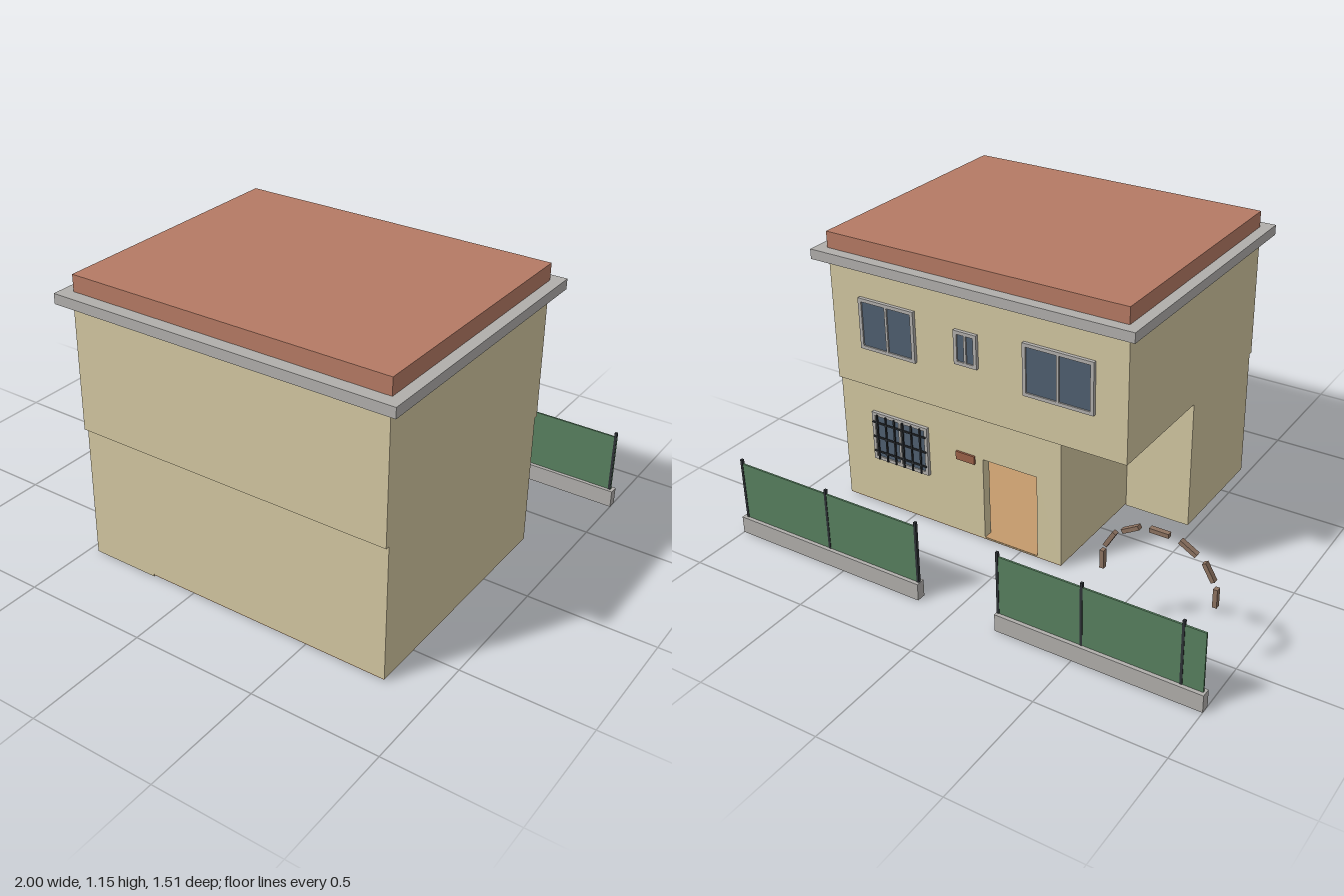
import * as THREE from 'three';

const mat = (name, color) => {
  const m = new THREE.MeshStandardMaterial({ color });
  m.name = name;
  return m;
};

export function createModel() {
  const M = {
    wall: mat('cream wall', 0xd2c6a0),
    roof: mat('terracotta', 0xb57a64),
    concrete: mat('concrete grey', 0xb0aeab),
    green: mat('fence green', 0x57805f),
    metal: mat('dark metal', 0x2e3236),
    stone: mat('arch brown', 0x8c7260),
    glass: mat('window glass', 0x4f5f70),
    floor: mat('wood floor', 0xc49a6c),
    white: mat('ceiling white', 0xeeeeec),
    plaque: mat('plaque brown', 0x9a6148),
  };
  const model = new THREE.Group();
  model.name = 'house';

  // Box given by its limits on each axis
  const box = (name, m, x0, x1, y0, y1, z0, z1, parent = model) => {
    const mesh = new THREE.Mesh(new THREE.BoxGeometry(x1 - x0, y1 - y0, z1 - z0), m);
    mesh.position.set((x0 + x1) / 2, (y0 + y1) / 2, (z0 + z1) / 2);
    mesh.name = name;
    parent.add(mesh);
    return mesh;
  };
  const group = (name) => {
    const g = new THREE.Group();
    g.name = name;
    model.add(g);
    return g;
  };
  const rect = (path, x0, x1, y0, y1) =>
    path.moveTo(x0, y0).lineTo(x1, y0).lineTo(x1, y1).lineTo(x0, y1).closePath();
  // Plate with rectangular holes
  const plate = (name, m, outer, holes, z0, z1, parent) => {
    const s = rect(new THREE.Shape(), ...outer);
    holes.forEach((h) => s.holes.push(rect(new THREE.Path(), ...h)));
    const geo = new THREE.ExtrudeGeometry(s, { depth: z1 - z0, bevelEnabled: false });
    const mesh = new THREE.Mesh(geo, m);
    mesh.position.z = z0;
    mesh.name = name;
    parent.add(mesh);
  };

  // Hollow ground floor, entered through a doorway at the rear
  const ground = group('groundFloor');
  const t = 0.04, top = 0.545;
  box('frontWall', M.wall, -0.185, 0.825, 0.01, top, 0.695 - t, 0.695, ground);
  box('leftWall', M.wall, 0.825 - t, 0.825, 0.01, top, -0.31 + t, 0.695 - t, ground);
  box('rightWall', M.wall, -0.185, -0.185 + t, 0.01, top, -0.31 + t, 0.695 - t, ground);
  const rear = rect(new THREE.Shape(), -0.185, 0.825, 0.01, top);
  rear.holes.push(rect(new THREE.Path(), -0.08, 0.16, 0.012, 0.365));
  const rearWall = new THREE.Mesh(
    new THREE.ExtrudeGeometry(rear, { depth: t, bevelEnabled: false }), M.wall);
  rearWall.position.z = -0.31;
  rearWall.name = 'rearWall';
  ground.add(rearWall);
  box('floor', M.floor, -0.184, 0.824, 0.006, 0.014, -0.309, 0.694, ground);
  box('ceiling', M.white, -0.15, 0.79, 0.532, 0.544, -0.275, 0.66, ground);
  box('sideRoom', M.wall, -0.465, -0.185, 0, top, 0.195, 0.695);

  // Upper floor and roof
  box('upperFloor', M.wall, -0.465, 0.825, top, 1.05, -0.325, 0.712);
  box('eaves', M.concrete, -0.51, 0.87, 1.05, 1.09, -0.375, 0.757);
  box('roof', M.roof, -0.465, 0.825, 1.09, 1.155, -0.33, 0.707);

  // Two-pane rear windows: [name, x0, x1, y0, y1, wall z]
  const windows = [
    ['upperLeftWindow', 0.435, 0.69, 0.71, 0.92, -0.325],
    ['smallWindow', 0.155, 0.255, 0.758, 0.895, -0.325],
    ['upperRightWindow', -0.335, -0.042, 0.71, 0.92, -0.325],
    ['groundWindow', 0.41, 0.675, 0.22, 0.43, -0.31],
  ];
  for (const [name, x0, x1, y0, y1, z] of windows) {
    const w = group(name);
    const r = 0.014, c = (x0 + x1) / 2;
    plate('frame', M.concrete, [x0, x1, y0, y1], [
      [x0 + r, c - 0.005, y0 + r, y1 - r],
      [c + 0.005, x1 - r, y0 + r, y1 - r],
    ], z - 0.014, z, w);
    box('glass', M.glass, x0 + 0.005, x1 - 0.005, y0 + 0.005, y1 - 0.005, z - 0.008, z, w);
  }

  // Security bars on the ground window
  const bars = group('windowBars');
  for (let i = 0; i < 6; i++) {
    const x = 0.44 + i * 0.041;
    box('verticalBar', M.metal, x - 0.003, x + 0.003, 0.225, 0.425, -0.333, -0.327, bars);
  }
  for (const y of [0.26, 0.325, 0.39]) {
    box('crossBar', M.metal, 0.415, 0.67, y - 0.003, y + 0.003, -0.331, -0.325, bars);
  }
  box('doorPlaque', M.plaque, 0.195, 0.28, 0.335, 0.37, -0.318, -0.31);

  // Fences on low walls: [wall x0, x1, panel x0, x1, post positions]
  for (const [x0, x1, p0, p1, posts] of [
    [-1, -0.185, -0.992, -0.188, [-0.91, -0.53, -0.192]],
    [0.15, 1, 0.155, 0.988, [0.158, 0.57, 0.982]],
  ]) {
    const f = group('fence');
    box('fenceBase', M.concrete, x0, x1, 0, 0.07, -0.757, -0.72, f);
    box('fencePanel', M.green, p0, p1, 0.07, 0.31, -0.742, -0.735, f);
    for (const x of posts) {
      box('fencePost', M.metal, x - 0.005, x + 0.005, 0.07, 0.328, -0.744, -0.733, f);
    }
  }

  // Arch of seven separate blocks
  const arch = group('arch');
  for (let i = 0; i < 7; i++) {
    const a = (i * Math.PI) / 6;
    const b = new THREE.Mesh(new THREE.BoxGeometry(0.016, 0.072, 0.02), M.stone);
    b.position.set(-0.72 + 0.214 * Math.cos(a), 0.31 + 0.182 * Math.sin(a), -0.558);
    b.rotation.z = a;
    b.name = 'archBlock';
    arch.add(b);
  }
  return model;
}
